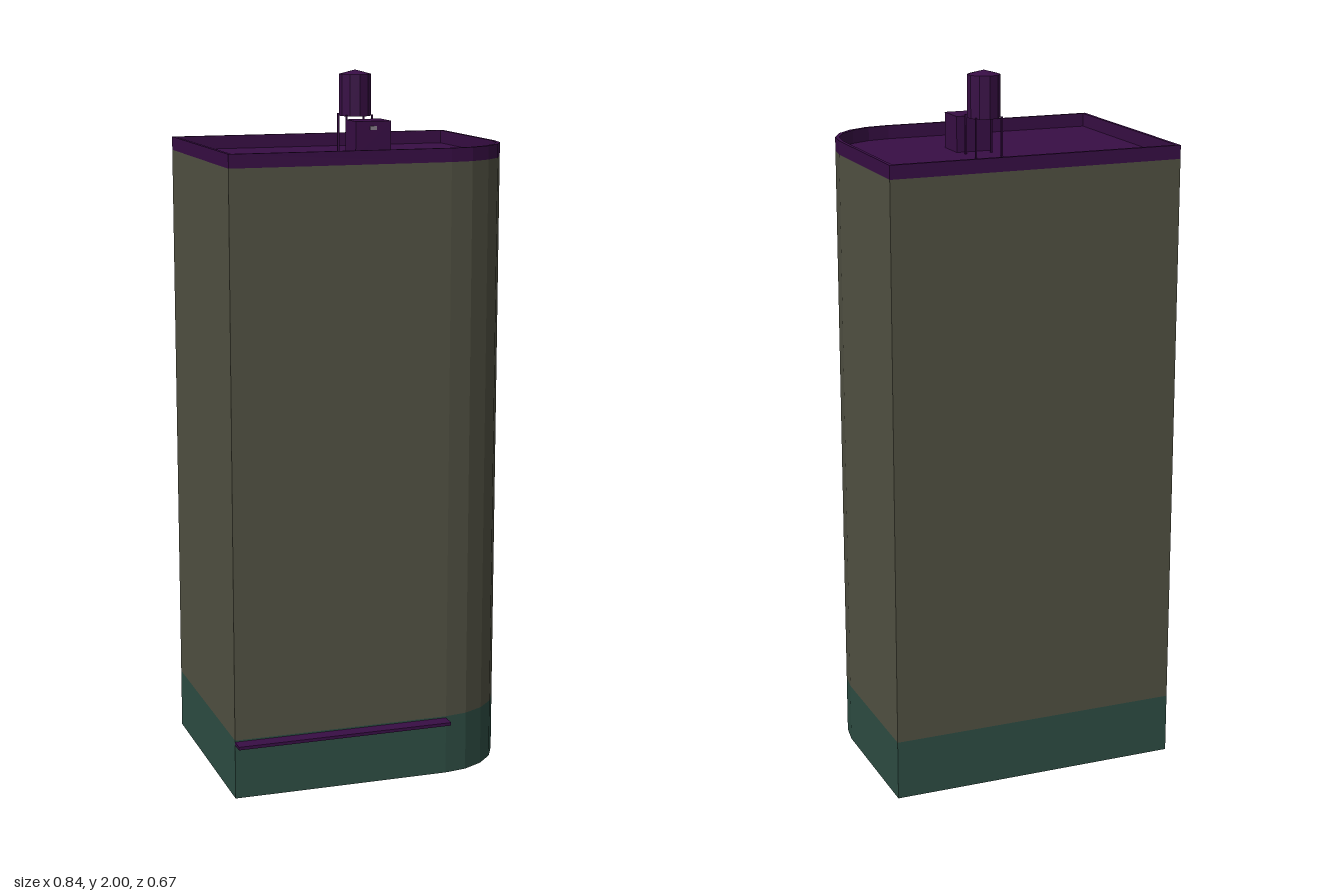
import * as THREE from 'three';

const ROOF = 1.765, TOP = 1.803, BASE = 0.172;
const Z_MID = -0.021, HALF_X = 0.42, HALF_Z = 0.314;

// Rectangular footprint [x, z] with one rounded front corner
const corner = Array.from({ length: 6 }, (_, i) => {
  const a = (i / 5) * Math.PI / 2;
  return [0.21 + 0.21 * Math.sin(a), 0.083 + 0.21 * Math.cos(a)];
});
const footprint = [[-0.42, 0.293], ...corner, [0.42, -0.335], [-0.42, -0.335]];

// Outline pulled inwards by d, as shape points (shape y is -z)
function outline(d) {
  const sx = 1 - d / HALF_X, sz = 1 - d / HALF_Z;
  return footprint.map(([x, z]) => new THREE.Vector2(x * sx, -(Z_MID + (z - Z_MID) * sz)));
}

// Open ring of flat walls around the footprint
function wallBand(y0, y1) {
  const pos = [];
  footprint.forEach(([ax, az], i) => {
    const [bx, bz] = footprint[(i + 1) % footprint.length];
    pos.push(ax, y0, az, bx, y0, bz, bx, y1, bz, ax, y0, az, bx, y1, bz, ax, y1, az);
  });
  const g = new THREE.BufferGeometry();
  g.setAttribute('position', new THREE.Float32BufferAttribute(pos, 3));
  g.computeVertexNormals();
  return g;
}

export function createModel() {
  const group = new THREE.Group();
  const material = (name, color) => {
    const m = new THREE.MeshStandardMaterial({ color, flatShading: true, side: THREE.DoubleSide });
    m.name = name;
    return m;
  };
  const olive = material('olive wall', 0x525243);
  const teal = material('dark teal base', 0x2e4e44);
  const purple = material('deep purple trim', 0x380e45);
  const grey = material('grey detail', 0x857a88);

  const add = (name, geometry, mat, x = 0, y = 0, z = 0, parent = group) => {
    const mesh = new THREE.Mesh(geometry, mat);
    mesh.name = name;
    mesh.position.set(x, y, z);
    parent.add(mesh);
    return mesh;
  };

  // Hollow tower walls, open underneath
  add('groundFloorWalls', wallBand(0, BASE), teal);
  add('upperWalls', wallBand(BASE, ROOF), olive);

  // Flat roof and its raised rim
  add('roof', new THREE.ShapeGeometry(new THREE.Shape(outline(0))).rotateX(-Math.PI / 2), purple, 0, ROOF, 0);
  const rim = new THREE.Shape(outline(0));
  rim.holes.push(new THREE.Path(outline(0.01).reverse()));
  add('parapet', new THREE.ExtrudeGeometry(rim, { depth: TOP - ROOF, bevelEnabled: false })
    .rotateX(-Math.PI / 2), purple, 0, ROOF, 0);

  // Awning over the ground floor
  add('awning', new THREE.BoxGeometry(0.63, 0.009, 0.042), purple, -0.105, 0.163, 0.314);

  // Stair housing with a small vent
  add('stairHousing', new THREE.BoxGeometry(0.104, 0.1, 0.092), purple, 0.056, ROOF + 0.05, 0.036);
  add('vent', new THREE.BoxGeometry(0.02, 0.01, 0.004), grey, 0.056, 1.846, 0.083);

  // Water tank on four thin legs
  const tank = new THREE.Group();
  tank.name = 'waterTank';
  tank.position.set(0.056, 0, -0.081);
  group.add(tank);
  add('tankBody', new THREE.CylinderGeometry(0.046, 0.046, 0.118, 10), purple, 0, 1.929, 0, tank);
  add('tankLid', new THREE.ConeGeometry(0.046, 0.012, 10), purple, 0, 1.994, 0, tank);
  for (const sx of [-1, 1]) for (const sz of [-1, 1]) {
    add('tankLeg', new THREE.BoxGeometry(0.005, 0.11, 0.005), purple, sx * 0.038, ROOF + 0.055, sz * 0.038, tank);
  }
  return group;
}
